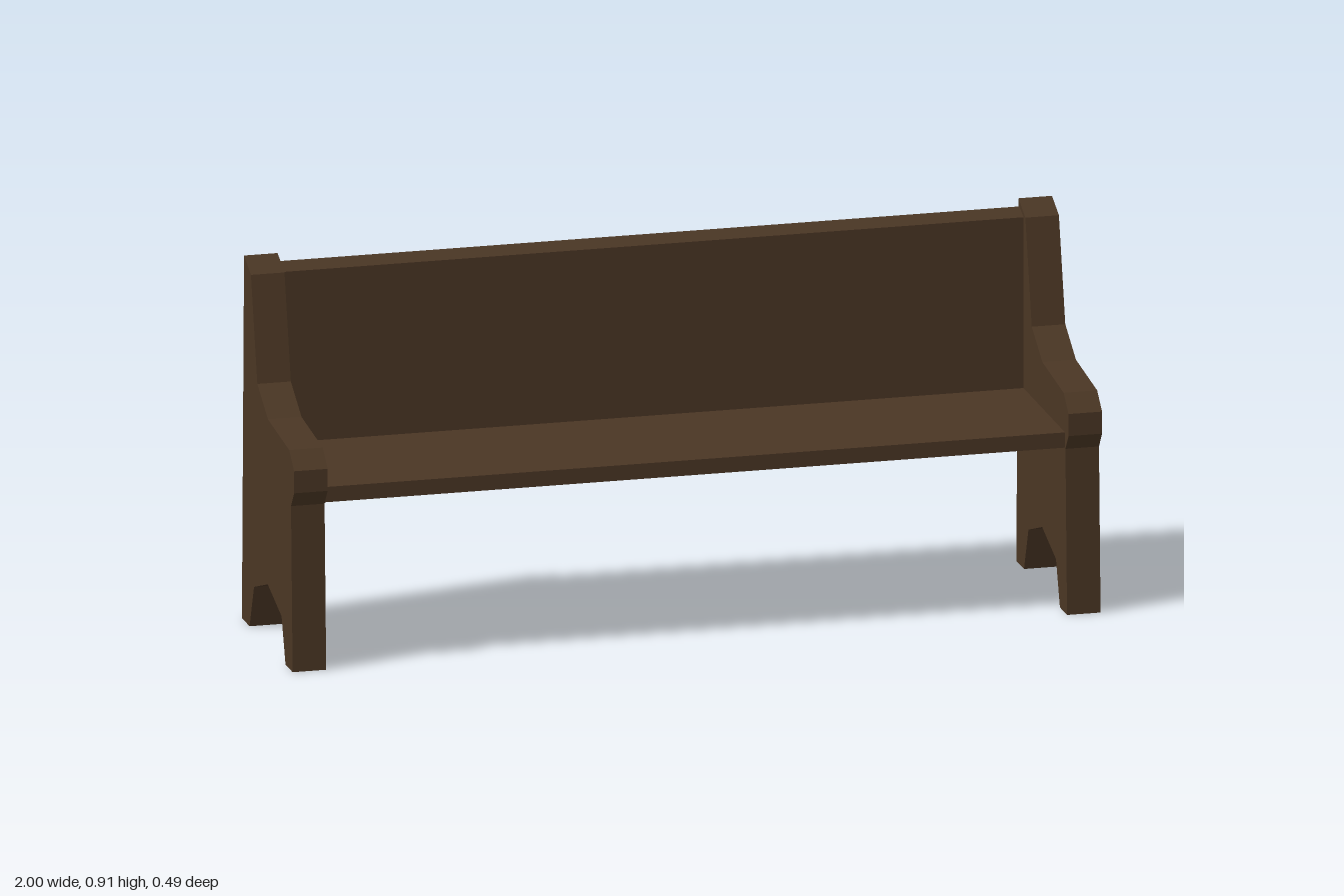
import * as THREE from 'three';

// Extrudes a side profile of [z, y] points along x, from x0 to x1.
function profileAlongX(points, x0, x1) {
  const shape = new THREE.Shape(points.map(([z, y]) => new THREE.Vector2(-z, y)));
  const geometry = new THREE.ExtrudeGeometry(shape, { depth: x1 - x0, bevelEnabled: false });
  return geometry.rotateY(Math.PI / 2).translate(x0, 0, 0);
}

export function createModel() {
  const group = new THREE.Group();
  group.name = 'bench';
  const wood = new THREE.MeshStandardMaterial({ color: 0x4a3624, flatShading: true });
  wood.name = 'dark wood';

  const add = (name, points, x0, x1) => {
    const mesh = new THREE.Mesh(profileAlongX(points, x0, x1), wood);
    mesh.name = name;
    group.add(mesh);
  };

  // End panels with armrest, tall back post and notched feet
  const endProfile = [
    [0.232, 0], [0.217, 0.41], [0.246, 0.45], [0.246, 0.505], [0.2, 0.545],
    [0, 0.565], [-0.1, 0.625], [-0.16, 0.88], [-0.225, 0.91], [-0.245, 0],
    [-0.173, 0], [-0.131, 0.11], [-0.002, 0.153], [0.128, 0.11], [0.165, 0],
  ];
  const inner = 0.917;
  add('leftEnd', endProfile, inner, 1);
  add('rightEnd', endProfile, -1, -inner);

  // Seat plank
  add('seat', [[0.213, 0.412], [0.213, 0.45], [-0.178, 0.45], [-0.178, 0.412]], -inner, inner);

  // Backrest with a sloped top edge
  add('backrest', [[-0.178, 0.412], [-0.178, 0.876], [-0.217, 0.892], [-0.217, 0.412]], -inner, inner);

  return group;
}
